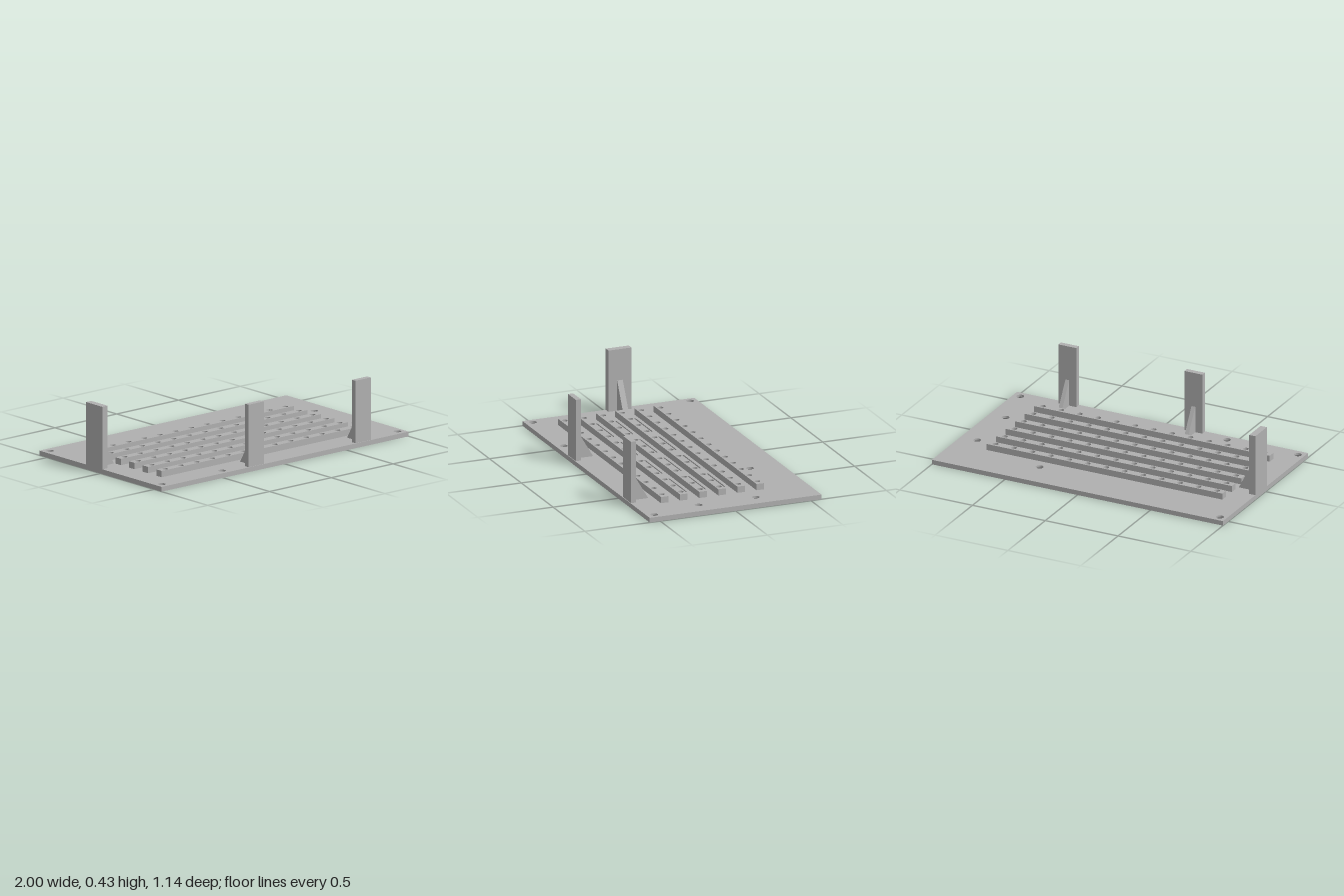
import * as THREE from 'three';

const PLATE_TOP = 0.03;
const SINK_TOP = 0.016;
const HOLE_R = 0.024;
const SINK_R = 0.041;
const RAIL_Z = [0.373, 0.246, 0.119, -0.007, -0.134, -0.261];
const SCREWS = [
  [-0.955, -0.523], [0.366, -0.363], [0.888, -0.181], [0.888, 0.199],
  [-0.955, 0.52], [-0.468, 0.52], [0.952, 0.52],
];

export function createModel() {
  const group = new THREE.Group();
  const grey = new THREE.MeshStandardMaterial({ color: 0xb0b0b0 });
  grey.name = 'grey';

  const add = (name, geometry, x = 0, y = 0, z = 0, parent = group) => {
    const mesh = new THREE.Mesh(geometry, grey);
    mesh.name = name;
    mesh.position.set(x, y, z);
    parent.add(mesh);
    return mesh;
  };

  // Outlines are drawn in plan, with shape y = -z
  const rectangle = (x0, x1, z0, z1) => new THREE.Shape([
    new THREE.Vector2(x0, -z1), new THREE.Vector2(x1, -z1),
    new THREE.Vector2(x1, -z0), new THREE.Vector2(x0, -z0),
  ]);
  const round = (x, z, r) => new THREE.Path().absarc(x, -z, r, 0, Math.PI * 2, true);
  const slot = (x, z, halfLength, r) => {
    const path = new THREE.Path();
    path.absarc(x + halfLength - r, -z, r, Math.PI / 2, -Math.PI / 2, true);
    path.absarc(x - halfLength + r, -z, r, -Math.PI / 2, -Math.PI * 1.5, true);
    path.closePath();
    return path;
  };
  const slab = (shape, depth) => new THREE.ExtrudeGeometry(shape, {
    depth, bevelEnabled: false, curveSegments: 16,
  }).rotateX(-Math.PI / 2);

  // Base plate in two layers: plain holes above, countersinks below
  const plateLayer = (holeRadius, depth) => {
    const shape = rectangle(-1, 1, -0.57, 0.57);
    for (const [x, z] of SCREWS) shape.holes.push(round(x, z, holeRadius));
    for (const z of [-0.071, 0.056, 0.183]) {
      for (let i = 0; i < 4; i++) shape.holes.push(slot(-0.645 + i * 0.38, z, 0.142, 0.0165));
    }
    return slab(shape, depth);
  };
  add('plateTop', plateLayer(HOLE_R, PLATE_TOP - SINK_TOP), 0, SINK_TOP, 0);
  add('plateBottom', plateLayer(SINK_R, SINK_TOP));

  // Conical countersink walls, facing inward
  const sink = new THREE.LatheGeometry(
    [new THREE.Vector2(HOLE_R, SINK_TOP), new THREE.Vector2(SINK_R, 0)], 32);
  for (const [x, z] of SCREWS) add('countersink', sink, x, 0, z);

  // Rails with a row of blind holes
  const railShape = rectangle(-0.85, 0.77, -0.025, 0.025);
  for (let i = 0; i < 13; i++) railShape.holes.push(round(-0.8 + i * 0.1268, 0, 0.018));
  const rail = slab(railShape, 0.04);
  for (const z of RAIL_Z) add('rail', rail, 0, PLATE_TOP, z);

  // Upright stops with a triangular gusset; local +z points inward
  const addStop = (name, x, z, turn, width, thickness, ribWidth, ribHeight) => {
    const stop = new THREE.Group();
    stop.name = name;
    stop.position.set(x, PLATE_TOP, z);
    stop.rotation.y = turn;
    add('post', new THREE.BoxGeometry(width, 0.395, thickness), 0, 0.1975, thickness / 2, stop);
    const triangle = new THREE.Shape([
      new THREE.Vector2(0, 0), new THREE.Vector2(0.101, 0), new THREE.Vector2(0, ribHeight),
    ]);
    const rib = new THREE.ExtrudeGeometry(triangle, { depth: ribWidth, bevelEnabled: false });
    rib.translate(0, 0, -ribWidth / 2).rotateY(-Math.PI / 2);
    add('gusset', rib, 0, 0, thickness, stop);
    group.add(stop);
  };
  addStop('frontStopRight', -0.231, 0.566, Math.PI, 0.123, 0.034, 0.026, 0.17);
  addStop('frontStopLeft', 0.635, 0.566, Math.PI, 0.123, 0.034, 0.026, 0.17);
  addStop('sideStop', -1, -0.059, Math.PI / 2, 0.153, 0.043, 0.037, 0.195);

  return group;
}
